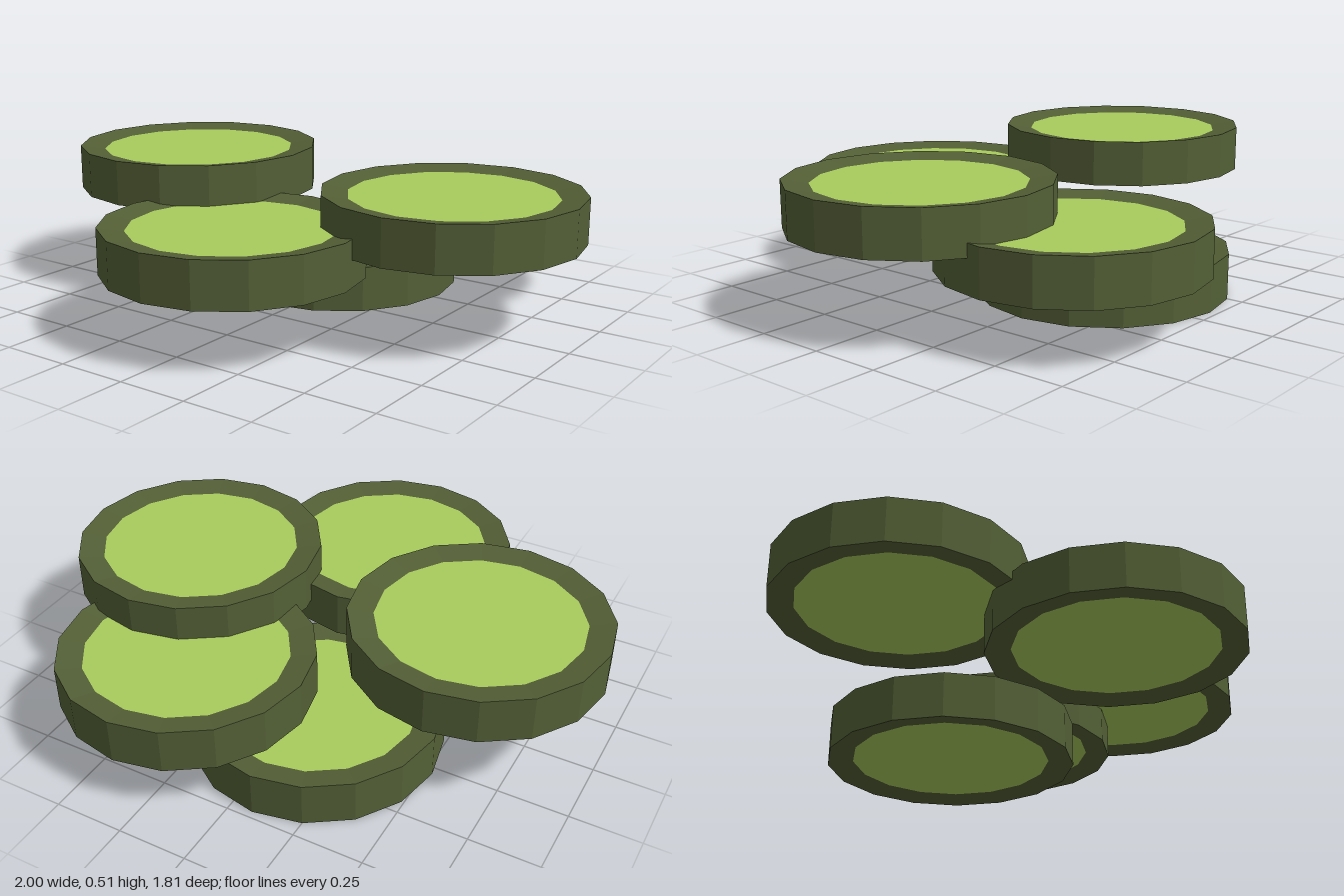
import * as THREE from 'three';

const SIDES = 16, RADIUS = 0.445, FACE_RADIUS = 0.355, HEIGHT = 0.16, RECESS = 0.015;

// Disc centres [x, base y, z]
const DISCS = {
  bottomDisc: [-0.08, 0, -0.28],
  backDisc: [0.325, 0.198, -0.46],
  frontDisc: [0, 0.22, 0.457],
  rightDisc: [-0.555, 0.35, -0.02],
  leftDisc: [0.555, 0.312, -0.015],
};

export function createModel() {
  const model = new THREE.Group();
  model.name = 'discPile';
  const rimMaterial = new THREE.MeshStandardMaterial({ color: 0x535f36, flatShading: true });
  const faceMaterial = new THREE.MeshStandardMaterial({ color: 0xa8cb5c, flatShading: true });

  // Rim: straight wall with lips sloping gently inward, above and below
  const rimGeometry = new THREE.LatheGeometry([
    new THREE.Vector2(FACE_RADIUS, RECESS),
    new THREE.Vector2(RADIUS, 0),
    new THREE.Vector2(RADIUS, HEIGHT),
    new THREE.Vector2(FACE_RADIUS, HEIGHT - RECESS),
  ], SIDES);

  // Recessed faces
  const topGeometry = new THREE.CircleGeometry(FACE_RADIUS, SIDES)
    .rotateX(-Math.PI / 2).translate(0, HEIGHT - RECESS, 0);
  const bottomGeometry = new THREE.CircleGeometry(FACE_RADIUS, SIDES)
    .rotateX(Math.PI / 2).translate(0, RECESS, 0);

  const addPart = (disc, name, geometry, material) => {
    const mesh = new THREE.Mesh(geometry, material);
    mesh.name = name;
    disc.add(mesh);
  };

  for (const [name, position] of Object.entries(DISCS)) {
    const disc = new THREE.Group();
    disc.name = name;
    addPart(disc, 'rim', rimGeometry, rimMaterial);
    addPart(disc, 'topFace', topGeometry, faceMaterial);
    addPart(disc, 'bottomFace', bottomGeometry, faceMaterial);
    disc.position.set(...position);
    model.add(disc);
  }
  return model;
}
